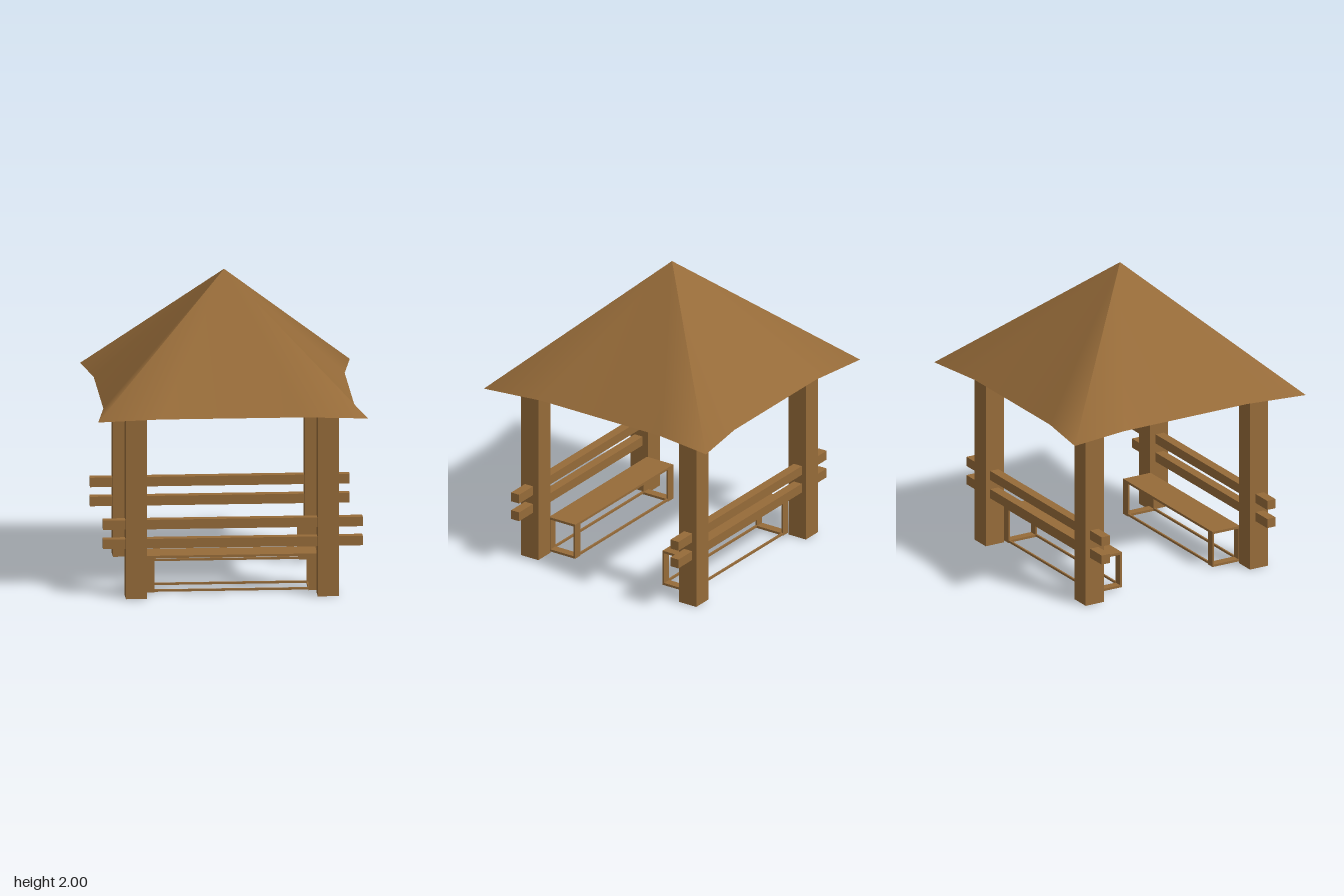
import * as THREE from 'three';

const wood = new THREE.MeshStandardMaterial({ color: 0x966b39 });
wood.name = 'brown wood';
const roofWood = wood.clone();
roofWood.name = 'brown roof';
roofWood.side = THREE.DoubleSide;

// Axis-aligned box given by its limits on each axis
function block(name, [x0, x1], [y0, y1], [z0, z1]) {
  const mesh = new THREE.Mesh(new THREE.BoxGeometry(x1 - x0, y1 - y0, z1 - z0), wood);
  mesh.position.set((x0 + x1) / 2, (y0 + y1) / 2, (z0 + z1) / 2);
  mesh.name = name;
  return mesh;
}

// Square timber running between two points
function timber(name, a, b, size) {
  const mesh = new THREE.Mesh(new THREE.BoxGeometry(size, size, a.distanceTo(b)), wood);
  mesh.position.copy(a).add(b).multiplyScalar(0.5);
  mesh.lookAt(b);
  mesh.name = name;
  return mesh;
}

// Hipped roof with flared corners: hips are crisp at the peak, soft at the eaves
function roof() {
  const rim = [], index = [];
  for (let i = 0; i < 4; i++) {
    const angle = i * Math.PI / 2;
    for (const [x, z] of [[-0.865, 0.865], [-0.46, 0.805], [0.46, 0.805]]) {
      rim.push(x * Math.cos(angle) + z * Math.sin(angle), 1.2, z * Math.cos(angle) - x * Math.sin(angle));
    }
  }
  const peaks = [];
  for (let i = 0; i < 4; i++) {
    peaks.push(0, 2, 0);
    for (let j = 0; j < 3; j++) index.push(12 + i, i * 3 + j, (i * 3 + j + 1) % 12);
  }
  const geometry = new THREE.BufferGeometry();
  geometry.setAttribute('position', new THREE.Float32BufferAttribute([...rim, ...peaks], 3));
  geometry.setIndex(index);
  geometry.computeVertexNormals();
  const mesh = new THREE.Mesh(geometry, roofWood);
  mesh.name = 'roof';
  return mesh;
}

// Plank seat on two strap loops joined by thin floor bars
function bench(name, z0, z1) {
  const group = new THREE.Group();
  group.name = name;
  const t = 0.012;
  group.add(block('seat', [-0.54, 0.56], [0.237, 0.253], [z0, z1]));
  for (const xs of [[-0.54, -0.483], [0.503, 0.56]]) {
    group.add(block('loopFoot', xs, [0.012, 0.027], [z0, z1]));
    for (const z of [z0, z1 - t]) group.add(block('loopLeg', xs, [0.012, 0.24], [z, z + t]));
  }
  for (const z of [z0, z1 - t]) group.add(block('floorBar', [-0.49, 0.51], [0.017, 0.031], [z, z + t]));
  return group;
}

export function createModel() {
  const model = new THREE.Group();
  model.name = 'gazebo';
  model.add(roof());

  const centreX = 0.007, centreZ = 0.015, peak = new THREE.Vector3(centreX, 1.78, centreZ);
  const tops = [];
  for (const sx of [-1, 1]) {
    for (const sz of [-1, 1]) {
      // Corner post and the rafter rising from it
      const x = centreX + sx * 0.615, z = centreZ + sz * 0.615;
      model.add(block('post', [x - 0.068, x + 0.068], [0, 1.25], [z - 0.068, z + 0.068]));
      const top = new THREE.Vector3(x, 1.235, z);
      tops.push(top);
      model.add(timber('rafter', top, peak, 0.09));
    }
  }
  // Crossing tie beams between opposite posts
  model.add(timber('tieBeam', tops[0], tops[3], 0.09));
  model.add(timber('tieBeam', tops[1], tops[2], 0.09));

  // Two backrest rails through each pair of posts
  for (const z of [0.635, -0.605]) {
    for (const y of [0.355, 0.48]) {
      model.add(block('backRail', [-0.82, 0.845], [y - 0.031, y + 0.031], [z - 0.031, z + 0.031]));
    }
  }

  model.add(bench('frontBench', 0.365, 0.57));
  model.add(bench('backBench', -0.53, -0.315));
  return model;
}
